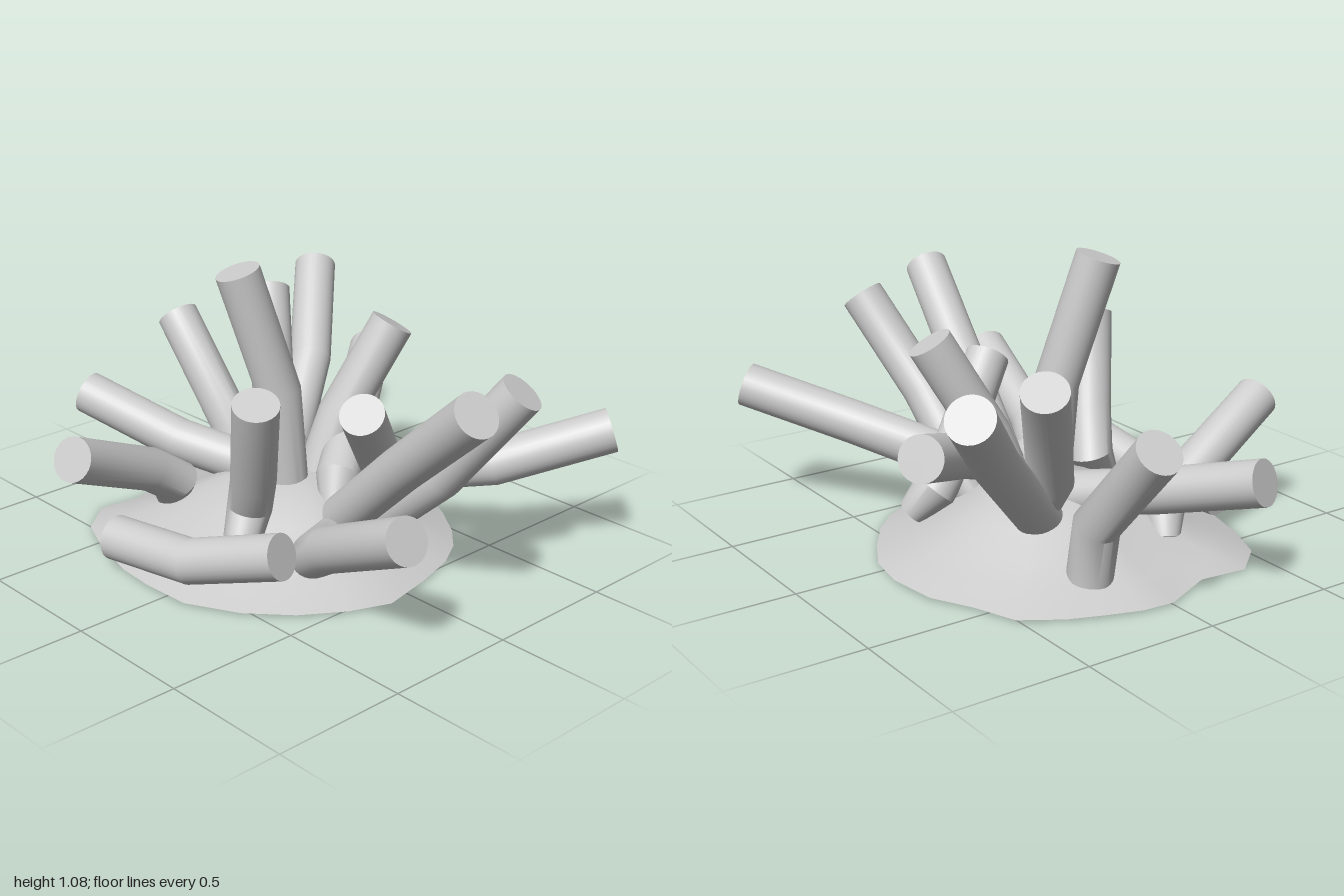
import * as THREE from 'three';
import { toCreasedNormals } from 'three/addons/utils/BufferGeometryUtils.js';

const RADIUS = 0.082;
const SIDES = 28;

// Capped tube along straight segments with mitred bends; path runs from tip to root.
function stalkGeometry(path, rootScale) {
  const p = path.map((a) => new THREE.Vector3(...a));
  const last = p.length - 1;
  const dirs = p.slice(1).map((q, i) => q.clone().sub(p[i]).normalize());
  const u = new THREE.Vector3(0.31, 0.2, 0.93).cross(dirs[0]).normalize();
  const v = dirs[0].clone().cross(u);
  const pos = [], index = [];
  let ring = [];
  for (let k = 0; k < SIDES; k++) {
    const a = (k / SIDES) * Math.PI * 2;
    ring.push(p[0].clone().addScaledVector(u, RADIUS * Math.cos(a)).addScaledVector(v, RADIUS * Math.sin(a)));
  }
  p.forEach((q, i) => {
    if (i > 0) {
      // slide the previous ring along its segment onto the bisecting plane
      const d = dirs[i - 1];
      const n = i < last ? d.clone().add(dirs[i]).normalize() : d;
      ring = ring.map((r) => r.clone().addScaledVector(d, q.clone().sub(r).dot(n) / d.dot(n)));
    }
    if (i === last) ring.forEach((r) => r.lerp(q, 1 - rootScale));
    ring.forEach((r) => pos.push(r.x, r.y, r.z));
  });
  for (let i = 0; i < last; i++) {
    for (let k = 0; k < SIDES; k++) {
      const a = i * SIDES + k, b = i * SIDES + (k + 1) % SIDES;
      index.push(a, b, a + SIDES, b, b + SIDES, a + SIDES);
    }
  }
  // end caps
  const c = pos.length / 3, e = last * SIDES;
  pos.push(...p[0].toArray(), ...p[last].toArray());
  for (let k = 0; k < SIDES; k++) {
    const m = (k + 1) % SIDES;
    index.push(c, m, k, c + 1, e + k, e + m);
  }
  const g = new THREE.BufferGeometry();
  g.setAttribute('position', new THREE.Float32BufferAttribute(pos, 3));
  g.setIndex(index);
  return toCreasedNormals(g, 0.6);
}

// Open mound: the irregular rim shrinks towards the apex ring by ring.
function moundGeometry() {
  const rim = [
    [0, -0.8], [0.12, -0.79], [0.24, -0.75], [0.37, -0.7], [0.51, -0.61], [0.57, -0.45], [0.65, -0.3],
    [0.675, -0.11], [0.65, 0.05], [0.57, 0.2], [0.48, 0.33], [0.39, 0.42], [0.27, 0.49], [0.1, 0.54],
    [-0.1, 0.58], [-0.25, 0.52], [-0.4, 0.42], [-0.53, 0.28], [-0.63, 0.09], [-0.64, -0.1],
    [-0.63, -0.25], [-0.58, -0.45], [-0.51, -0.62], [-0.38, -0.73], [-0.2, -0.71],
  ];
  const profile = [[1, 0.015], [0.82, 0.06], [0.65, 0.11], [0.48, 0.18], [0.33, 0.23], [0.17, 0.26], [0.001, 0.27]];
  const cx = 0.04, cz = -0.1, n = rim.length;
  const pos = [], index = [];
  for (const [t, y] of profile) {
    for (const [x, z] of rim) pos.push(cx + (x - cx) * t, y, cz + (z - cz) * t);
  }
  for (let i = 0; i < profile.length - 1; i++) {
    for (let k = 0; k < n; k++) {
      const a = i * n + k, b = i * n + (k + 1) % n;
      index.push(a, a + n, b, b, a + n, b + n);
    }
  }
  const g = new THREE.BufferGeometry();
  g.setAttribute('position', new THREE.Float32BufferAttribute(pos, 3));
  g.setIndex(index);
  g.computeVertexNormals();
  return g;
}

export function createModel() {
  const group = new THREE.Group();
  const material = new THREE.MeshStandardMaterial({ color: 0xcccccc, side: THREE.DoubleSide });
  const add = (name, geometry) => {
    const mesh = new THREE.Mesh(geometry, material);
    mesh.name = name;
    group.add(mesh);
  };

  add('baseMound', moundGeometry());

  // each stalk: tip, bends, root
  const stalks = {
    tallCentreStalk: [[-0.155, 1.06, -0.155], [-0.03, 0.6, -0.08], [0.0, 0.2, -0.07]],
    frontStalk: [[-0.105, 0.825, 0.935], [-0.05, 0.5, 0.56], [-0.01, 0.2, 0.24]],
    frontLeftStalk: [[0.255, 0.775, 0.82], [0.13, 0.43, 0.58], [0.12, 0.18, 0.3]],
    frontRightStalk: [[-0.355, 0.45, 0.885], [-0.3, 0.25, 0.47], [-0.25, 0.17, 0.35], [-0.04, 0.16, 0.23]],
    farLeftFrontStalk: [[0.76, 0.5, 0.825], [0.46, 0.37, 0.54], [0.26, 0.29, 0.2], [0.2, 0.13, 0.09]],
    leftStalk: [[0.69, 0.53, -0.33], [0.38, 0.41, -0.1], [0.1, 0.28, 0.1], [0.04, 0.18, 0.14]],
    leftUprightStalk: [[0.42, 0.79, 0.05], [0.24, 0.45, -0.04], [0.14, 0.2, -0.06]],
    hookedStalk: [[0.01, 0.61, 0.31], [0.26, 0.3, 0.17], [0.35, 0.2, 0.15], [0.42, 0.11, 0.2]],
    rightStalk: [[-0.41, 0.735, 0.23], [-0.32, 0.4, 0.11], [-0.27, 0.25, 0.03], [-0.41, 0.04, 0.1]],
    backLeftStalk: [[0.74, 0.78, -0.71], [0.48, 0.5, -0.46], [0.17, 0.17, -0.28]],
    backLeftUprightStalk: [[0.39, 0.775, -0.605], [0.18, 0.35, -0.34], [0.2, 0.17, -0.23]],
    backStalk: [[0.19, 0.63, -0.94], [0.175, 0.27, -0.6], [0.18, 0.07, -0.57]],
    backRightStalk: [[-0.28, 0.42, -0.92], [-0.14, 0.3, -0.53], [0.04, 0.22, -0.18]],
    farRightStalk: [[-0.78, 0.47, -0.32], [-0.37, 0.28, -0.42], [-0.27, 0.21, -0.4], [-0.22, 0.08, -0.48]],
    lyingStalk: [[-0.44, 0.24, 0.39], [-0.54, 0.12, 0.02], [-0.61, 0.115, -0.32]],
  };
  // stalks with a short root segment taper into the mound
  for (const [name, path] of Object.entries(stalks)) {
    add(name, stalkGeometry(path, path.length > 3 ? 0.65 : 1));
  }
  return group;
}
